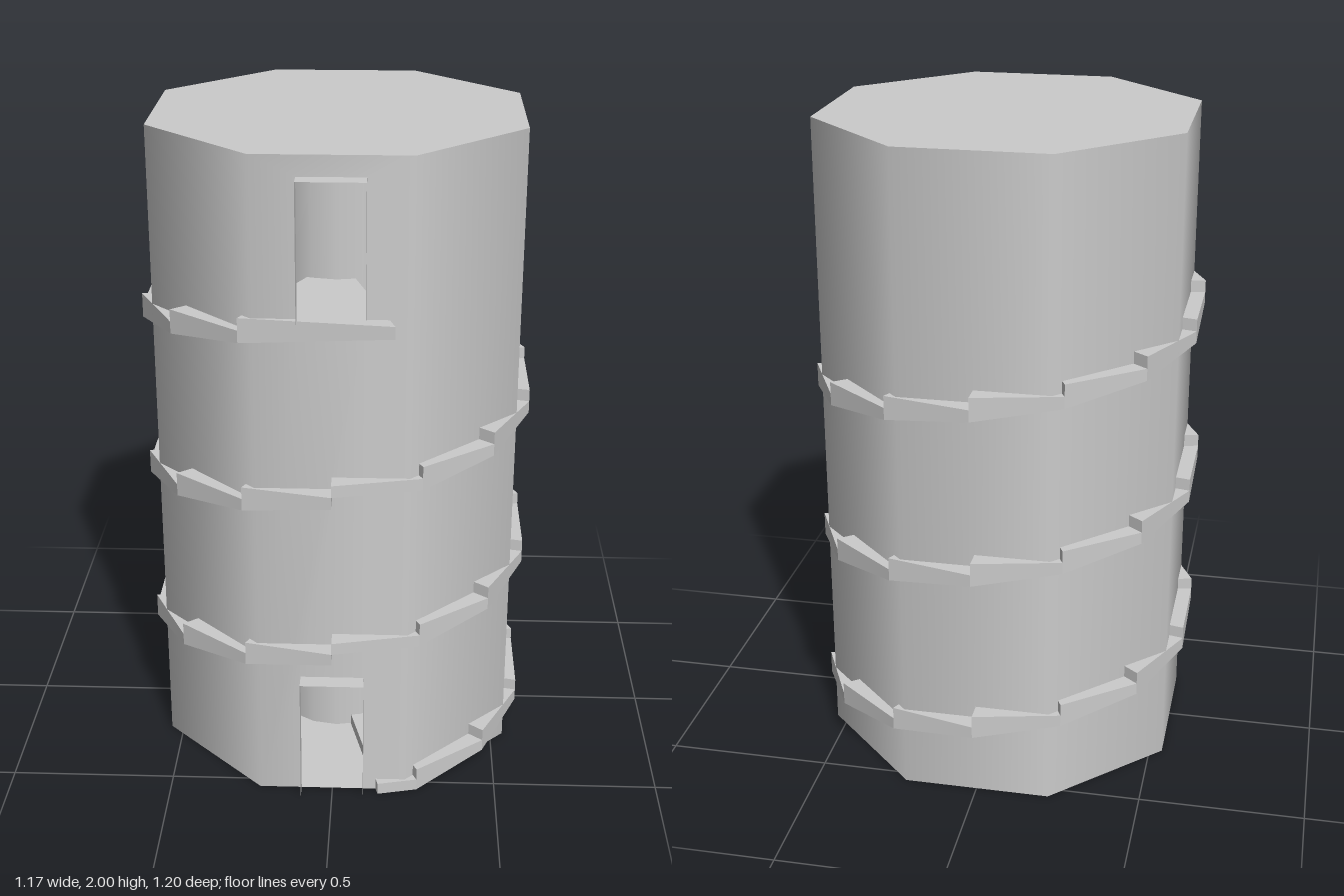
import * as THREE from 'three';

const TOWER_R = 0.584, HEIGHT = 2;          // octagonal shell
const STEP_R = 0.598, POLE_R = 0.2;         // stair radii
const PER_LAP = 14, LAPS = 3, RISE = 1.542 / (PER_LAP * LAPS);
const DOOR_W = 0.095, DOOR_H = 0.4, DOOR_OUT = 0.592;
const DOORS = [0, 1.54];                    // sill heights

const grey = new THREE.MeshStandardMaterial({ color: 0xcccccc, side: THREE.DoubleSide });
const flatGrey = new THREE.MeshStandardMaterial({ color: 0xcccccc, flatShading: true });

function add(parent, name, geometry, material = grey) {
  const mesh = new THREE.Mesh(geometry, material);
  mesh.name = name;
  parent.add(mesh);
  return mesh;
}

// Front wall panel with both doorways cut out, shaded as part of the round shell
function frontPanel() {
  const half = TOWER_R * Math.sin(Math.PI / 8), z = TOWER_R * Math.cos(Math.PI / 8);
  const shape = new THREE.Shape([
    [-half, 0], [-DOOR_W, 0], [-DOOR_W, DOOR_H], [DOOR_W, DOOR_H],
    [DOOR_W, 0], [half, 0], [half, HEIGHT], [-half, HEIGHT],
  ].map(p => new THREE.Vector2(...p)));
  const y0 = DOORS[1], y1 = y0 + DOOR_H;
  shape.holes.push(new THREE.Path([
    [-DOOR_W, y0], [-DOOR_W, y1], [DOOR_W, y1], [DOOR_W, y0],
  ].map(p => new THREE.Vector2(...p))));
  const geo = new THREE.ShapeGeometry(shape).translate(0, 0, z);
  const pos = geo.attributes.position, n = new THREE.Vector3();
  for (let i = 0; i < pos.count; i++) {
    n.set(pos.getX(i), 0, z).normalize();
    geo.attributes.normal.setXYZ(i, n.x, n.y, n.z);
  }
  return geo;
}

// Wedge tread between two outer corners, with a sloping underside
function stepGeometry(start, end, low0, low1, top) {
  const inner = p => p.clone().setLength(POLE_R * 0.9);
  const plan = [inner(start), start, end, inner(end)];
  const lows = [low0, low0, low1, low1];
  const b = plan.map((p, i) => [p.x, lows[i], p.y]);
  const t = plan.map(p => [p.x, top, p.y]);
  const out = [];
  const quad = (p, q, r, s) => out.push(...p, ...q, ...r, ...p, ...r, ...s);
  quad(...t);
  quad(b[3], b[2], b[1], b[0]);
  for (let i = 0; i < 4; i++) {
    const j = (i + 1) % 4;
    quad(b[i], b[j], t[j], t[i]);
  }
  const geo = new THREE.BufferGeometry();
  geo.setAttribute('position', new THREE.Float32BufferAttribute(out, 3));
  geo.computeVertexNormals();
  return geo;
}

// Outer corner of the stair, as (x, z)
function corner(k) {
  const a = k * 2 * Math.PI / PER_LAP;
  return new THREE.Vector2(Math.sin(a), Math.cos(a)).multiplyScalar(STEP_R);
}

export function createModel() {
  const model = new THREE.Group();
  model.name = 'spiralStairTower';

  // Tower shell: seven plain sides, the front panel and the two caps
  const tower = new THREE.Group();
  tower.name = 'tower';
  model.add(tower);
  add(tower, 'wall', new THREE.CylinderGeometry(TOWER_R, TOWER_R, HEIGHT, 7, 1, true,
    Math.PI / 8, Math.PI * 7 / 4).translate(0, HEIGHT / 2, 0));
  add(tower, 'frontWall', frontPanel());
  const cap = () => new THREE.CircleGeometry(TOWER_R, 8, Math.PI / 8);
  add(tower, 'roof', cap().rotateX(-Math.PI / 2).translate(0, HEIGHT, 0));
  add(tower, 'floor', cap().rotateX(Math.PI / 2));

  // Central pole
  add(model, 'pole', new THREE.CylinderGeometry(POLE_R, POLE_R, HEIGHT - 0.01, 16)
    .translate(0, HEIGHT / 2, 0));

  // Thin door surrounds: two jambs and a lintel
  const wallZ = TOWER_R * Math.cos(Math.PI / 8);
  const depth = DOOR_OUT - wallZ, midZ = (DOOR_OUT + wallZ) / 2;
  for (const sill of DOORS) {
    const frame = new THREE.Group();
    frame.name = sill ? 'upperDoorFrame' : 'lowerDoorFrame';
    model.add(frame);
    for (const side of [-1, 1]) {
      add(frame, side > 0 ? 'leftJamb' : 'rightJamb', new THREE.PlaneGeometry(depth, DOOR_H)
        .rotateY(side * Math.PI / 2).translate(side * DOOR_W, sill + DOOR_H / 2, midZ));
    }
    add(frame, 'lintel', new THREE.PlaneGeometry(2 * DOOR_W, depth)
      .rotateX(-Math.PI / 2).translate(0, sill + DOOR_H, midZ));
  }

  // Spiral stair: the first tread is shortened, the last widened to a landing
  const stairs = new THREE.Group();
  stairs.name = 'stairs';
  model.add(stairs);
  const total = PER_LAP * LAPS;
  for (let k = 0; k < total; k++) {
    const start = k === 0 ? new THREE.Vector2(0.14, 0.566) : corner(k);
    const end = k === total - 1 ? new THREE.Vector2(0.175, 0.592) : corner(k + 1);
    const low = (k % PER_LAP === 0 ? k : k - 1) * RISE;   // each lap starts with a flat tread
    add(stairs, k === total - 1 ? 'landing' : 'step',
      stepGeometry(start, end, low, k * RISE, (k + 1) * RISE), flatGrey);
  }
  return model;
}
